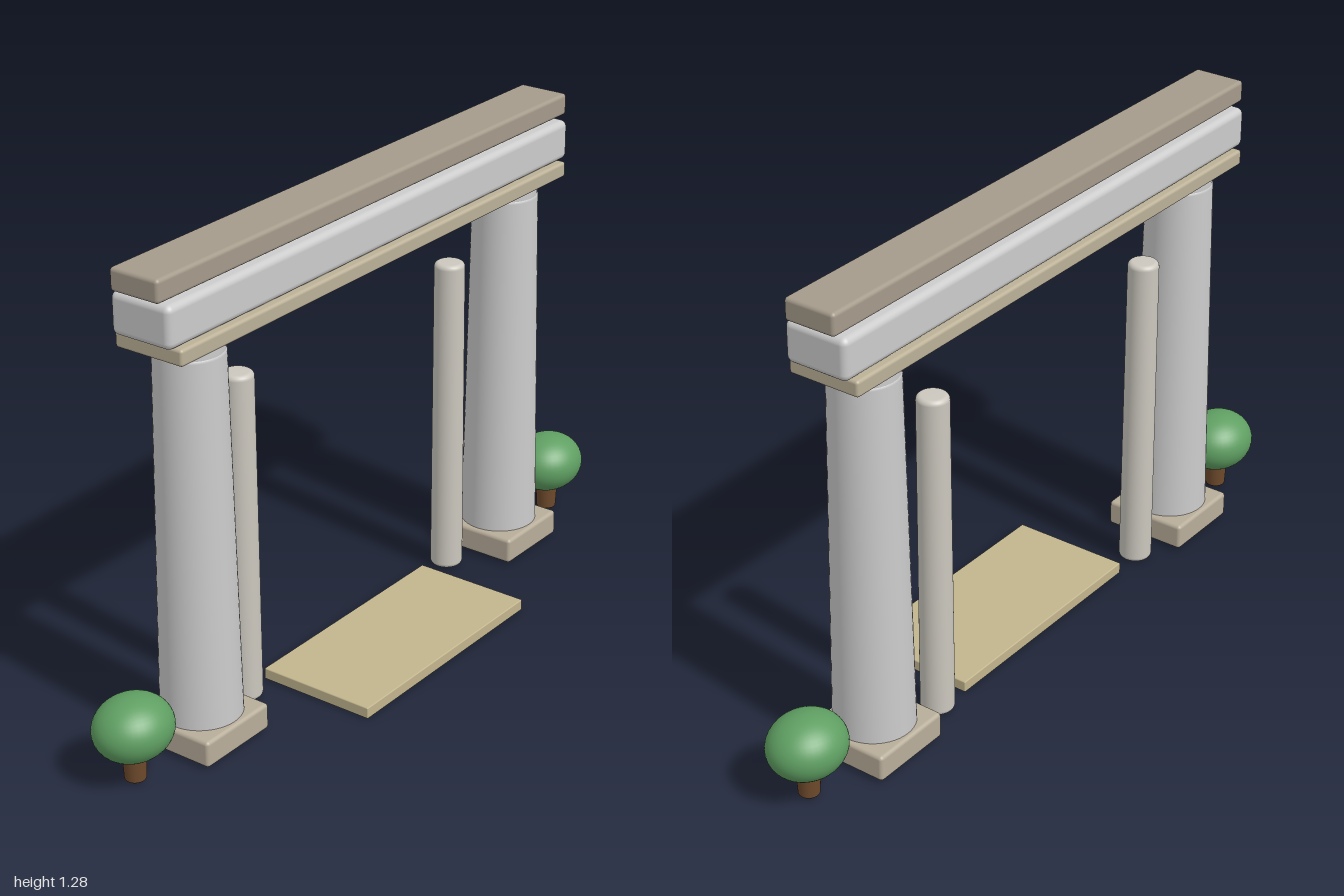
import * as THREE from 'three';
import { RoundedBoxGeometry } from 'three/addons/geometries/RoundedBoxGeometry.js';

const Z = -0.083; // depth of the gate's centre line

const mat = (color) => new THREE.MeshStandardMaterial({ color });
const stone = mat(0xcccccc);
const postStone = mat(0xcbc7be);
const plinthStone = mat(0xb8ad9a);
const capStone = mat(0xa59b8b);
const ledgeStone = mat(0xbcb198);
const sand = mat(0xc2b58e);
const leaf = mat(0x5f9f62);
const bark = mat(0x6e4a2c);

function add(parent, name, geometry, material, x, y, z) {
  const mesh = new THREE.Mesh(geometry, material);
  mesh.name = name;
  mesh.position.set(x, y, z);
  parent.add(mesh);
  return mesh;
}

// Block with softened edges spanning y0 to y1
function block(parent, name, material, w, d, y0, y1, r, x = 0, z = Z) {
  return add(parent, name, new RoundedBoxGeometry(w, y1 - y0, d, 3, r), material, x, (y0 + y1) / 2, z);
}

// Tapered round shaft with rounded rims at both ends
function shaft(y0, y1, r0, r1, bevel) {
  const pts = [new THREE.Vector2(0, y0)];
  for (let i = 0; i <= 5; i++) {
    const a = (i / 5) * Math.PI / 2;
    pts.push(new THREE.Vector2(r0 - bevel + bevel * Math.sin(a), y0 + bevel - bevel * Math.cos(a)));
  }
  for (let i = 0; i <= 5; i++) {
    const a = (i / 5) * Math.PI / 2;
    pts.push(new THREE.Vector2(r1 - bevel + bevel * Math.cos(a), y1 - bevel + bevel * Math.sin(a)));
  }
  pts.push(new THREE.Vector2(0, y1));
  return new THREE.LatheGeometry(pts, 48);
}

export function createModel() {
  const gate = new THREE.Group();
  gate.name = 'gate';

  // Stacked lintel
  block(gate, 'lintelLedge', ledgeStone, 1.57, 0.2, 1.065, 1.107, 0.008);
  block(gate, 'lintelBeam', stone, 1.62, 0.177, 1.107, 1.215, 0.018);
  block(gate, 'lintelCap', capStone, 1.65, 0.143, 1.222, 1.281, 0.01);

  // Threshold slab
  block(gate, 'threshold', sand, 0.69, 0.33, 0, 0.031, 0.003, 0, 0.035);

  for (const side of [-1, 1]) {
    const half = new THREE.Group();
    half.name = side > 0 ? 'leftSide' : 'rightSide';
    gate.add(half);

    // Main column on its plinth
    const x = side * 0.645;
    block(half, 'plinth', plinthStone, 0.234, 0.234, 0.006, 0.077, 0.01, x);
    add(half, 'column', shaft(0.002, 1.047, 0.105, 0.088, 0.012), stone, x, 0, Z);
    add(half, 'columnNeck', shaft(1.035, 1.068, 0.086, 0.086, 0.006), stone, x, 0, Z);

    // Slim inner post
    add(half, 'innerPost', shaft(0.005, 0.9, 0.044, 0.041, 0.013), postStone, side * 0.438, 0, -0.115);

    // Small round tree
    const tree = new THREE.Group();
    tree.name = 'tree';
    tree.position.set(side * 0.893, 0, Z);
    half.add(tree);
    add(tree, 'trunk', shaft(0.005, 0.09, 0.027, 0.031, 0.005), bark, 0, 0, 0);
    add(tree, 'foliage', new THREE.SphereGeometry(1, 40, 24), leaf, 0, 0.148, 0).scale.set(0.107, 0.082, 0.096);
  }
  return gate;
}
